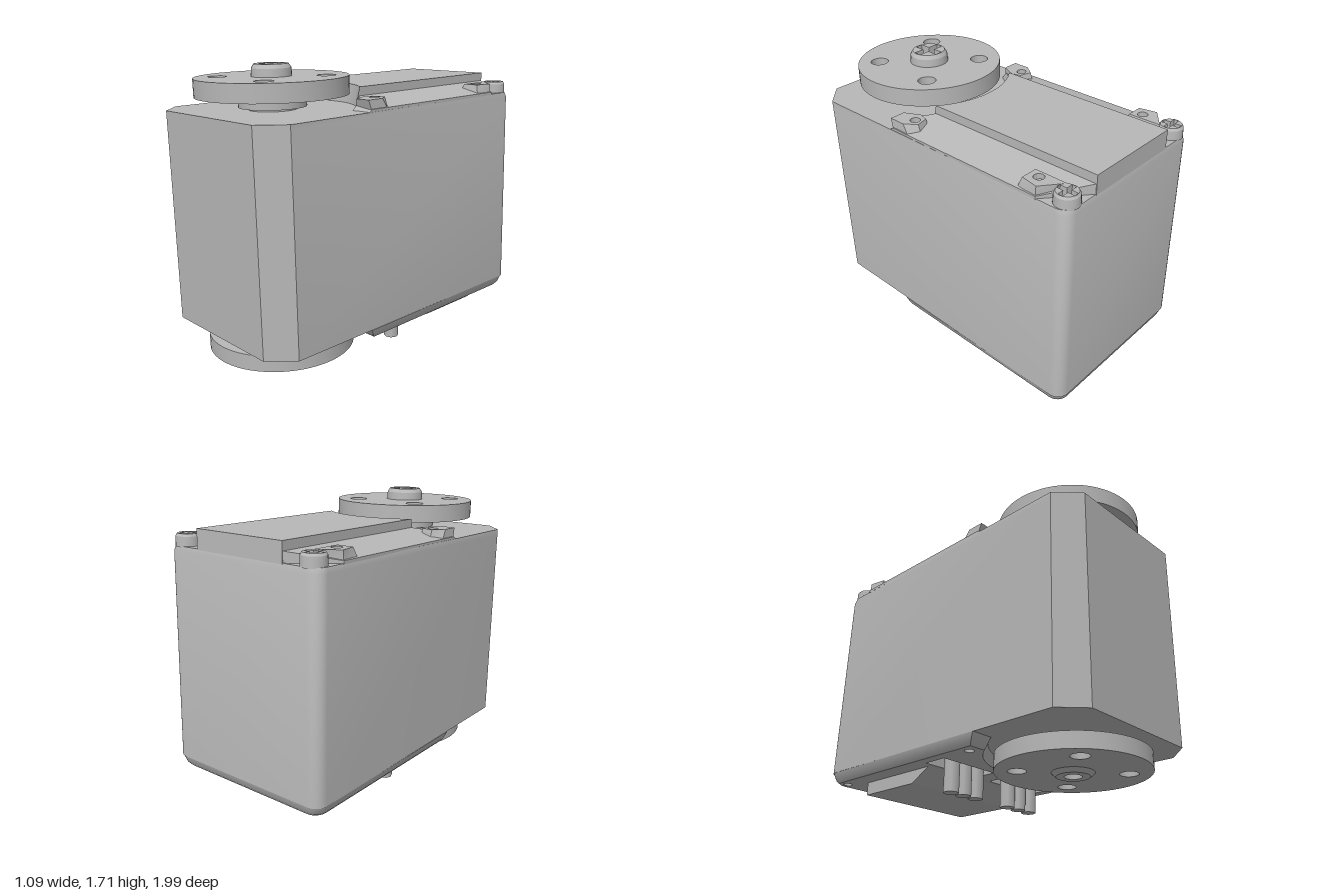
import * as THREE from 'three';
import { toCreasedNormals } from 'three/addons/utils/BufferGeometryUtils.js';

const ZC = 0.525;   // shaft axis
const W = 0.535;    // half width of the case
const BACK = -0.99; // rear of the case

// Solid through rings listed from bottom to top; a ring is { y, pts: [[x, z], ...] }.
// y may be a function of x. Holes run straight through.
function loft(rings, holes = []) {
  const flat = (pts, clockwise) => {
    const v = pts.map(([x, z]) => new THREE.Vector2(x, -z));
    return THREE.ShapeUtils.isClockWise(v) === clockwise ? v : v.reverse();
  };
  const levels = rings.map(({ y, pts }) => ({
    y: typeof y === 'function' ? y : () => y,
    loops: [flat(pts, false), ...holes.map((h) => flat(h, true))],
  }));
  const pos = [];
  const put = (level, p) => pos.push(p.x, level.y(p.x), -p.y);
  for (let k = 0; k + 1 < levels.length; k++) {
    const a = levels[k], b = levels[k + 1];
    a.loops.forEach((loop, l) => loop.forEach((p, i) => {
      const j = (i + 1) % loop.length, up = b.loops[l];
      put(a, p); put(a, loop[j]); put(b, up[j]);
      put(a, p); put(b, up[j]); put(b, up[i]);
    }));
  }
  for (const [level, top] of [[levels[0], false], [levels.at(-1), true]]) {
    const all = level.loops.flat();
    for (const t of THREE.ShapeUtils.triangulateShape(level.loops[0], level.loops.slice(1))) {
      const [a, b, c] = t.map((i) => all[i]);
      const ccw = THREE.ShapeUtils.area([a, b, c]) > 0;
      (ccw === top ? [a, b, c] : [a, c, b]).forEach((p) => put(level, p));
    }
  }
  const geo = new THREE.BufferGeometry();
  geo.setAttribute('position', new THREE.Float32BufferAttribute(pos, 3));
  return toCreasedNormals(geo, 0.5);
}

const mirrorX = (half) => [...half, ...half.map(([x, z]) => [-x, z]).reverse()];
const rect = (x0, x1, z0, z1) => [[x0, z0], [x1, z0], [x1, z1], [x0, z1]];
const circle = (x, z, r, n = 16) => Array.from({ length: n }, (_, i) => {
  const a = (i / n) * Math.PI * 2;
  return [x + r * Math.cos(a), z + r * Math.sin(a)];
});

// Rounded rear corner, from the side round to the back
function rearCorner(inset) {
  const r = 0.07;
  return Array.from({ length: 7 }, (_, i) => {
    const a = (i / 6) * Math.PI / 2;
    return [W - inset - r + r * Math.cos(a), BACK + inset + r - r * Math.sin(a)];
  });
}

// Half of the curve that clears the round horn, from x0 to x1
const clearance = (R, x0, x1, n = 9) => Array.from({ length: n + 1 }, (_, i) => {
  const x = x0 + (x1 - x0) * i / n;
  return [x, ZC - Math.sqrt(R * R - x * x)];
});
const reach = (R, zf) => Math.sqrt(R * R - (ZC - zf) ** 2);

export function createModel() {
  const grey = new THREE.MeshStandardMaterial({ color: 0xb8b8b8 });
  grey.name = 'grey plastic';
  const model = new THREE.Group();
  model.name = 'servo';
  const add = (name, geo) => {
    const mesh = new THREE.Mesh(geo, grey);
    mesh.name = name;
    model.add(mesh);
    return mesh;
  };
  const cylinder = (name, r, y0, y1, x = 0, z = ZC, sides = 48) =>
    add(name, new THREE.CylinderGeometry(r, r, y1 - y0, sides)).position.set(x, (y0 + y1) / 2, z);

  // Case with chamfered front and rounded rear corners
  const caseHalf = (inset) => mirrorX([[0.405, 0.965], [W, 0.83], ...rearCorner(inset)]);
  add('case', loft([
    { y: 0.223, pts: caseHalf(-0.008) },
    { y: 1.44, pts: caseHalf(0) },
    { y: 1.47, pts: caseHalf(0.008) },
  ]));

  // Bottom cover with rounded rim, pin slots and screw holes
  const coverHalf = (R, zf, inset) => mirrorX([
    ...clearance(R, 0.02, reach(R, zf)), [W - inset, zf], ...rearCorner(inset)]);
  const coverHoles = [1, -1].flatMap((s) => [
    rect(s * 0.06, s * 0.45, -0.17, -0.02),
    circle(s * 0.45, 0.18, 0.028),
    circle(s * 0.455, -0.91, 0.028),
  ]);
  add('bottomCover', loft([
    { y: 0.16, pts: coverHalf(0.49, 0.25, 0.025) },
    { y: 0.18, pts: coverHalf(0.482, 0.27, 0.008) },
    { y: 0.223, pts: coverHalf(0.465, 0.295, -0.006) },
  ], coverHoles));

  // Raised panel under the case, with a sloping front edge
  add('bottomPanel', loft([
    { y: 0.083, pts: rect(-0.4, 0.4, -0.775, -0.345) },
    { y: 0.165, pts: rect(-0.4, 0.4, -0.775, -0.2) },
  ]));

  // Two rows of three connector pins
  for (const s of [1, -1]) {
    for (let i = 0; i < 3; i++) cylinder('connectorPin', 0.045, 0, 0.23, s * (0.135 + 0.095 * i), -0.088, 8);
  }

  // Raised centre deck on top
  const deck = (R) => mirrorX([...clearance(R, 0.015, 0.305), [0.305, -0.985]]);
  add('topDeck', loft([
    { y: 1.465, pts: deck(0.465) },
    { y: 1.58, pts: deck(0.49) },
  ]));

  for (const s of [1, -1]) {
    const side = (pts) => pts.map(([x, z]) => [x * s, z]);
    // Sloping shoulder beside the deck, cut away around the rear screw
    const shoulder = (R, zf) => side([
      ...clearance(R, 0.3, reach(R, zf), 4), [0.53, zf], [0.53, -0.79], [0.3, -0.985]]);
    add('shoulder', loft([
      { y: 1.465, pts: shoulder(0.465, 0.295) },
      { y: (x) => 1.53 - 0.2 * (Math.abs(x) - 0.3), pts: shoulder(0.485, 0.265) },
    ]));
    // Front and rear lugs with small holes
    const frontLug = (e) => side([
      [0.425 - e, 0.285 - e], [0.52 + e / 4, 0.285 - e], [0.52 + e / 4, 0.18 - e * 2],
      [0.47, 0.11 - e], [0.395, 0.13 - e], [0.38, 0.19]]);
    const rearLug = (e) => side([
      [0.4 - e, -0.68 + e], [0.5 + e, -0.68 + e], [0.52 + e / 4, -0.785], [0.4 - e, -0.88]]);
    const lugs = [['frontLug', frontLug, 0.165], ['rearLug', rearLug, -0.74]];
    for (const [name, outline, z] of lugs) {
      add(name, loft([
        { y: 1.47, pts: outline(0.02) },
        { y: 1.535, pts: outline(0) },
      ], [circle(s * 0.445, z, 0.03, 12)]));
    }
  }

  // Cross-slotted screw heads
  function screw(name, x, z, r, y0, y1) {
    const a = r * 0.2, b = r * 0.78;
    const cross = [[a, a], [b, a], [b, -a], [a, -a], [a, -b], [-a, -b],
      [-a, -a], [-b, -a], [-b, a], [-a, a], [-a, b], [a, b]];
    add(name, loft([
      { y: y0, pts: circle(0, 0, r, 28) },
      { y: y1 - r * 0.2, pts: circle(0, 0, r * 0.97, 28) },
      { y: y1, pts: circle(0, 0, r * 0.84, 28) },
    ], [cross])).position.set(x, 0, z);
    cylinder(name + 'SlotFloor', r * 0.9, y0, y0 + (y1 - y0) * 0.3, x, z, 28);
  }
  screw('hornScrew', 0, ZC, 0.115, 1.645, 1.722);
  screw('leftCaseScrew', 0.45, -0.92, 0.07, 1.465, 1.537);
  screw('rightCaseScrew', -0.45, -0.92, 0.07, 1.465, 1.537);

  // Round horns with four mounting holes
  function horn(name, y0, y1, boreRadius) {
    const shape = new THREE.Shape().absarc(0, 0, 0.432, 0, Math.PI * 2);
    const bore = (x, y, r) => shape.holes.push(new THREE.Path().absarc(x, y, r, 0, Math.PI * 2, true));
    for (const x of [-0.215, 0.215]) for (const y of [-0.215, 0.215]) bore(x, y, 0.053);
    if (boreRadius) bore(0, 0, boreRadius);
    const geo = new THREE.ExtrudeGeometry(shape, { depth: y1 - y0, bevelEnabled: false, curveSegments: 32 });
    geo.rotateX(-Math.PI / 2);
    add(name, toCreasedNormals(geo, 0.5)).position.set(0, y0, ZC);
  }
  horn('topHorn', 1.55, 1.653, 0);
  cylinder('topHub', 0.193, 1.485, 1.552);
  cylinder('topShaft', 0.137, 1.465, 1.49);
  horn('bottomHorn', 0.075, 0.168, 0.05);
  cylinder('bottomShaft', 0.13, 0.16, 0.23);
  add('bottomBoss', loft([
    { y: 0.052, pts: circle(0, 0, 0.095, 32) },
    { y: 0.08, pts: circle(0, 0, 0.125, 32) },
  ], [circle(0, 0, 0.05, 24)])).position.z = ZC;

  // The whole unit leans slightly forward
  model.rotation.x = 0.024;
  const root = new THREE.Group();
  root.name = 'servoMotor';
  root.add(model);
  return root;
}
